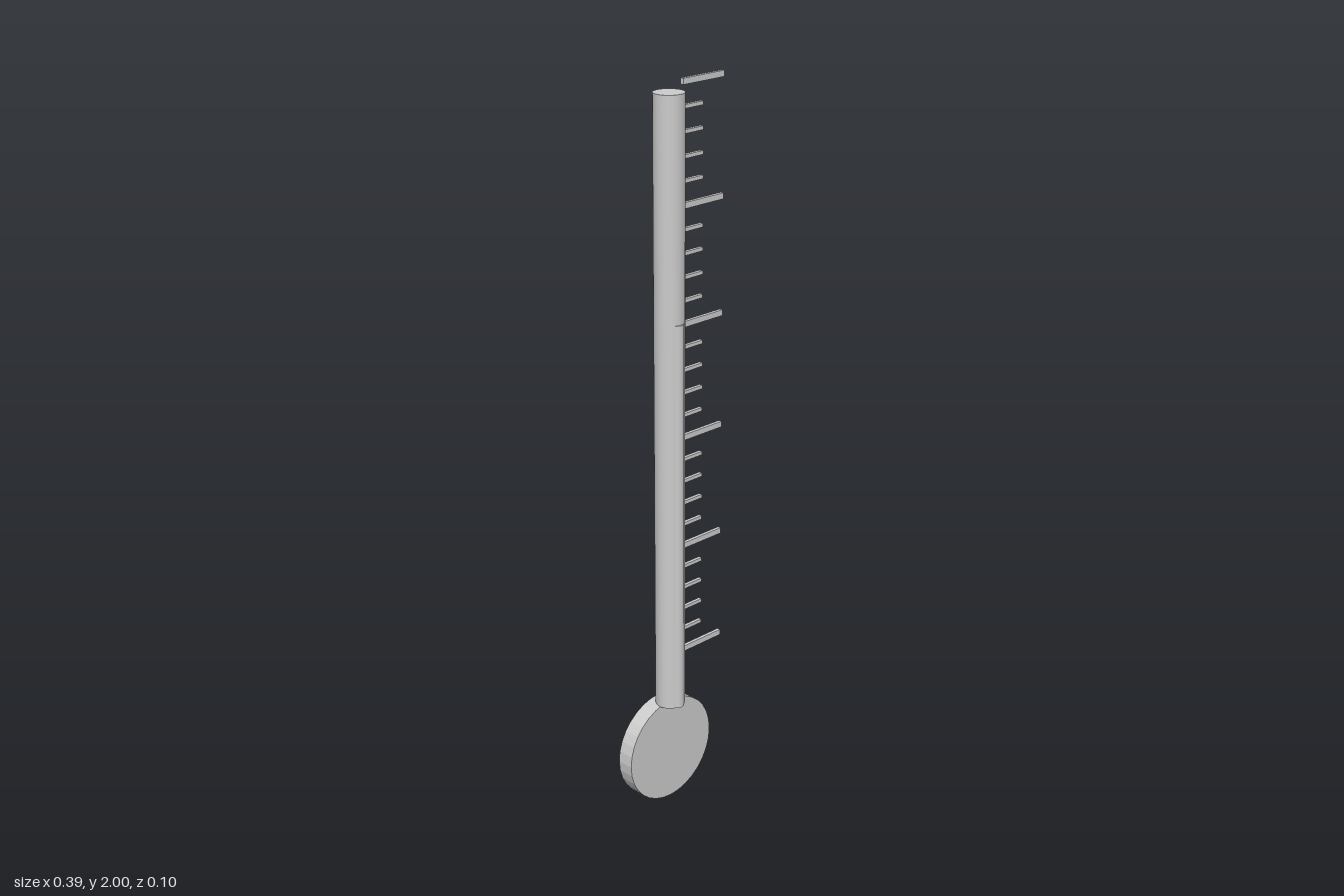
import * as THREE from 'three';

export function createModel() {
  const group = new THREE.Group();
  group.name = 'thermometer';

  const grey = new THREE.MeshStandardMaterial({ color: 0xcccccc });
  grey.name = 'grey';
  const facetedGrey = grey.clone();
  facetedGrey.flatShading = true;
  facetedGrey.name = 'faceted grey';

  const add = (name, geometry, material, x, y, z) => {
    const mesh = new THREE.Mesh(geometry, material);
    mesh.name = name;
    mesh.position.set(x, y, z);
    group.add(mesh);
    return mesh;
  };

  const axisX = -0.044;
  const bottom = 0.298;

  // Upright rod from a base height to a top height
  const rod = (name, radius, top, z) =>
    add(name, new THREE.CylinderGeometry(radius, radius, top - bottom, 32), grey,
      axisX, (top + bottom) / 2, z);

  // Flat round bulb, facing forwards
  const bulb = new THREE.CylinderGeometry(0.152, 0.152, 0.048, 32).rotateX(Math.PI / 2);
  add('bulb', bulb, facetedGrey, axisX, 0.152, -0.019);

  // Glass tube, with the fluid column just proud of its front
  rod('tube', 0.0405, 1.986, 0.0025);
  rod('fluidColumn', 0.02, 1.4, 0.0275);

  // Scale marks: every fifth one is long and thick
  const scale = new THREE.Group();
  scale.name = 'scale';
  const left = 0.048;
  for (let i = 0; i <= 25; i++) {
    const major = i % 5 === 0;
    const width = major ? 0.146 : 0.071;
    const mark = add(major ? 'majorMark' : 'minorMark',
      new THREE.BoxGeometry(width, major ? 0.016 : 0.01, 0.01), grey,
      left + width / 2, 0.41 + i * 0.06328, -0.045);
    scale.add(mark);
  }
  group.add(scale);

  return group;
}
